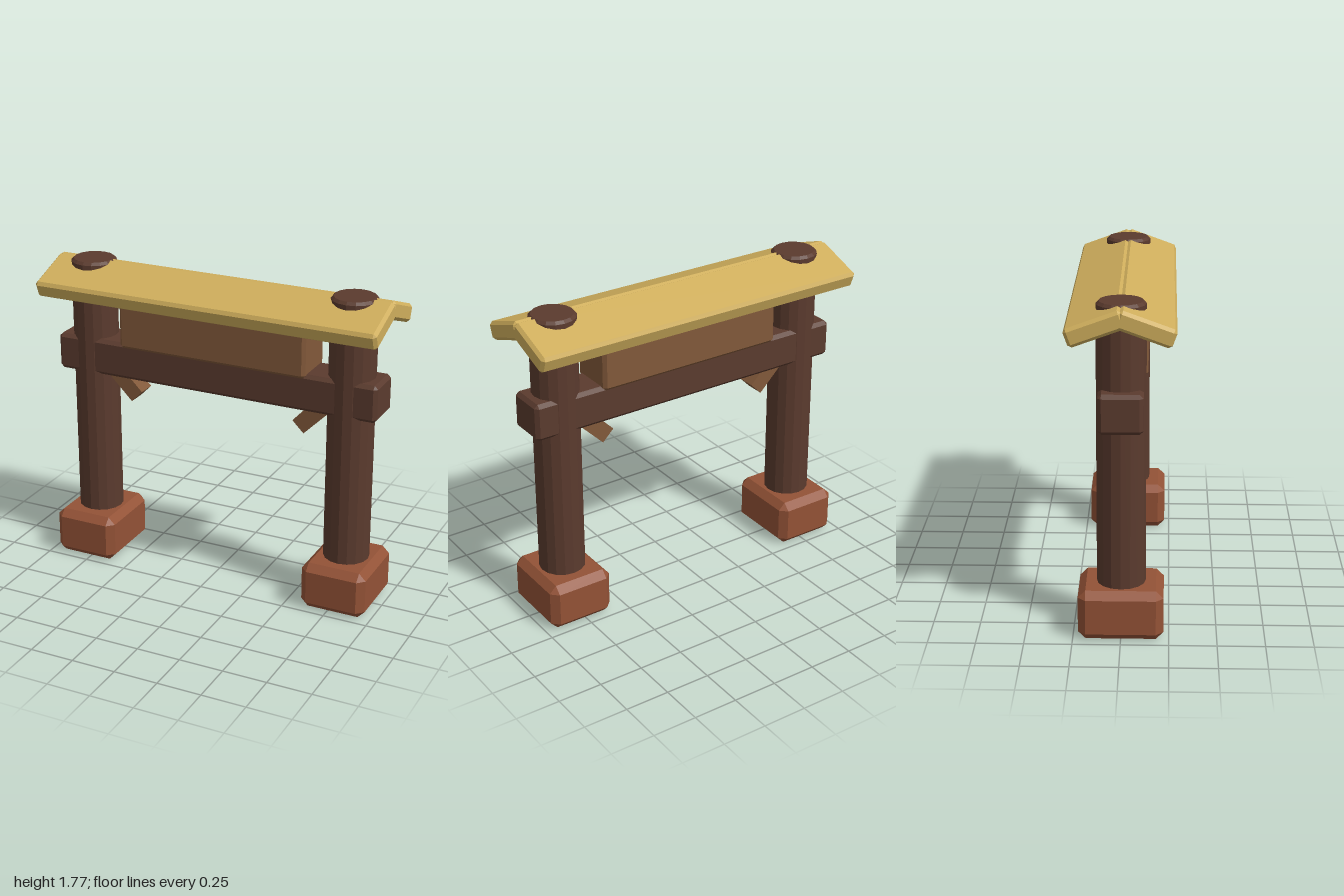
import * as THREE from 'three';
import { ConvexGeometry } from 'three/addons/geometries/ConvexGeometry.js';

const material = (name, color) => {
  const m = new THREE.MeshStandardMaterial({ color });
  m.name = name;
  return m;
};

// Box with one flat chamfer on every edge
function chamferBox(w, h, d, c) {
  const points = [];
  for (const x of [-1, 1]) for (const y of [-1, 1]) for (const z of [-1, 1]) {
    const X = x * w / 2, Y = y * h / 2, Z = z * d / 2;
    points.push(
      new THREE.Vector3(X, Y - y * c, Z - z * c),
      new THREE.Vector3(X - x * c, Y, Z - z * c),
      new THREE.Vector3(X - x * c, Y - y * c, Z));
  }
  return new ConvexGeometry(points);
}

// Faceted round post with a chamfered top
function postGeometry(radius, bottom, top, chamfer) {
  const profile = [[0, bottom], [radius, bottom], [radius, top - chamfer], [radius - chamfer, top], [0, top]]
    .map(([r, y]) => new THREE.Vector2(r, y));
  const geometry = new THREE.LatheGeometry(profile, 16).toNonIndexed();
  geometry.computeVertexNormals();
  return geometry;
}

export function createModel() {
  const model = new THREE.Group();
  model.name = 'gate';

  const darkWood = material('dark wood', 0x5b3b2e);
  const lightWood = material('light wood', 0x82593a);
  const clay = material('clay', 0x935236);
  const straw = material('straw', 0xcfae5c);

  const add = (name, geometry, mat, x, y, z) => {
    const mesh = new THREE.Mesh(geometry, mat);
    mesh.name = name;
    mesh.position.set(x, y, z);
    model.add(mesh);
    return mesh;
  };

  // Posts, footings and braces, mirrored left and right
  const footing = chamferBox(0.375, 0.27, 0.445, 0.04);
  const post = postGeometry(0.128, 0.1, 1.775, 0.015);
  const brace = new THREE.BoxGeometry(0.3, 0.093, 0.11);
  for (const side of [-1, 1]) {
    const label = side > 0 ? 'left' : 'right';
    add(label + 'Footing', footing, clay, side * 0.778, 0.135, 0);
    add(label + 'Post', post, darkWood, side * 0.778, 0, 0);
    add(label + 'Brace', brace, lightWood, side * 0.601, 1.111, 0).rotation.z = side * Math.PI / 4;
  }

  // Crossbeam running through both posts, with the panel above it
  add('crossbeam', chamferBox(1.92, 0.21, 0.232, 0.02), darkWood, 0, 1.23, 0);
  add('panel', chamferBox(1.115, 0.275, 0.266, 0.018), lightWood, 0, 1.45, 0);

  // Two sloping roof slabs meeting at the ridge
  const pitch = THREE.MathUtils.degToRad(20);
  const slope = 0.303, thickness = 0.1, ridge = 1.779;
  const slab = chamferBox(2, thickness, slope, 0.017);
  for (const side of [-1, 1]) {
    const z = Math.cos(pitch) * slope / 2 - Math.sin(pitch) * thickness / 2;
    const y = ridge - Math.sin(pitch) * slope / 2 - Math.cos(pitch) * thickness / 2;
    add(side > 0 ? 'frontRoof' : 'backRoof', slab, straw, 0, y, side * z).rotation.x = side * pitch;
  }

  return model;
}
